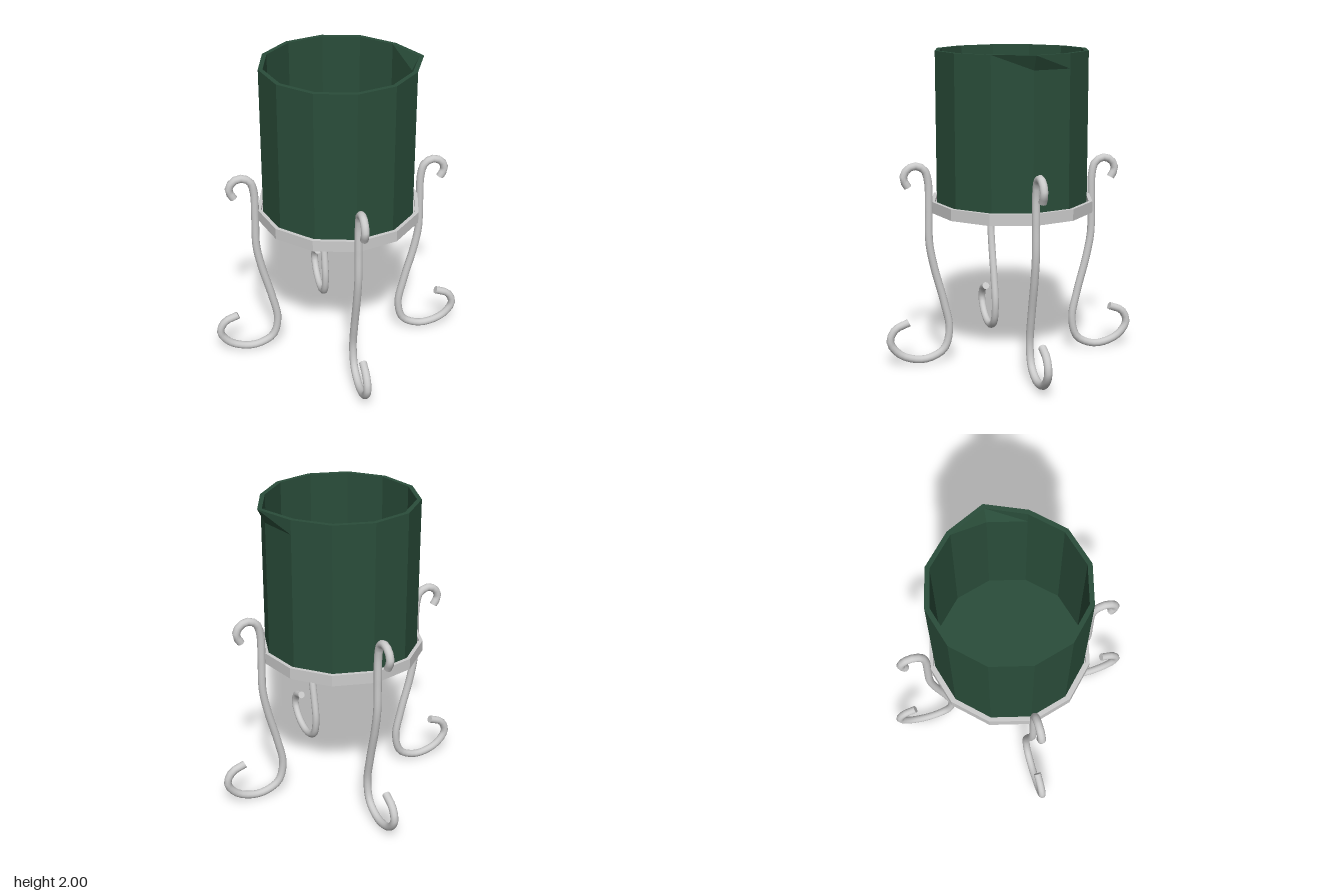
import * as THREE from 'three';

const SIDES = 12;
const metal = new THREE.MeshStandardMaterial({ color: 0xcccccc });
const metalFlat = new THREE.MeshStandardMaterial({ color: 0xcccccc, flatShading: true });
const green = new THREE.MeshStandardMaterial({ color: 0x2a4d3a, flatShading: true });

function addMesh(parent, name, geometry, material) {
  const mesh = new THREE.Mesh(geometry, material);
  mesh.name = name;
  parent.add(mesh);
  return mesh;
}

function lathe(profile) {
  return new THREE.LatheGeometry(profile.map(([r, y]) => new THREE.Vector2(r, y)), SIDES);
}

// Hollow twelve-sided pot with one rim corner pulled out as a spout
function potGeometry() {
  const geometry = lathe([
    [0, 1.035], [0.487, 1.035], [0.487, 1.91], [0.487, 2],
    [0.458, 2], [0.458, 1.91], [0.458, 1.07], [0, 1.07],
  ]);
  const p = geometry.attributes.position;
  for (let i = 0; i < p.count; i++) {
    const onRim = p.getY(i) > 1.99;
    if (onRim && p.getX(i) > 0.4 && Math.abs(p.getZ(i)) < 0.01) p.setX(i, p.getX(i) + 0.045);
  }
  geometry.computeVertexNormals();
  return geometry;
}

// Scrolled leg in the xy plane: upper curl, straight, S-bend, foot curl
const legCurve = new THREE.CatmullRomCurve3([
  [0.67, 1.16], [0.698, 1.215], [0.675, 1.27], [0.62, 1.292], [0.565, 1.265],
  [0.542, 1.19], [0.54, 1.0], [0.54, 0.8], [0.512, 0.64], [0.45, 0.4],
  [0.417, 0.22], [0.45, 0.09], [0.53, 0.038], [0.62, 0.027], [0.74, 0.07],
  [0.803, 0.16], [0.77, 0.24], [0.68, 0.28],
].map(([x, y]) => new THREE.Vector3(x, y, 0)));

function makeLeg() {
  const leg = new THREE.Group();
  leg.name = 'leg';
  const radius = 0.025;
  addMesh(leg, 'legRod', new THREE.TubeGeometry(legCurve, 56, radius, 12), metal);
  for (const t of [0, 1]) {
    const cap = addMesh(leg, 'legEnd', new THREE.CircleGeometry(radius, 12), metal);
    const outward = legCurve.getTangentAt(t).multiplyScalar(t ? 1 : -1);
    cap.position.copy(legCurve.getPointAt(t));
    cap.lookAt(cap.position.clone().add(outward));
  }
  return leg;
}

export function createModel() {
  const model = new THREE.Group();
  model.name = 'potOnStand';

  addMesh(model, 'pot', potGeometry(), green);

  // Hoop around the pot base, and the plate it rests on
  const hoop = lathe([[0.5, 0.99], [0.524, 0.99], [0.524, 1.062], [0.5, 1.062], [0.5, 0.99]]);
  addMesh(model, 'standRing', hoop, metalFlat);
  const plate = addMesh(model, 'standPlate', new THREE.CylinderGeometry(0.502, 0.502, 0.012, SIDES), metalFlat);
  plate.position.y = 1.029;

  for (let i = 0; i < 4; i++) {
    const leg = makeLeg();
    leg.rotation.y = i * Math.PI / 2;
    model.add(leg);
  }
  return model;
}
